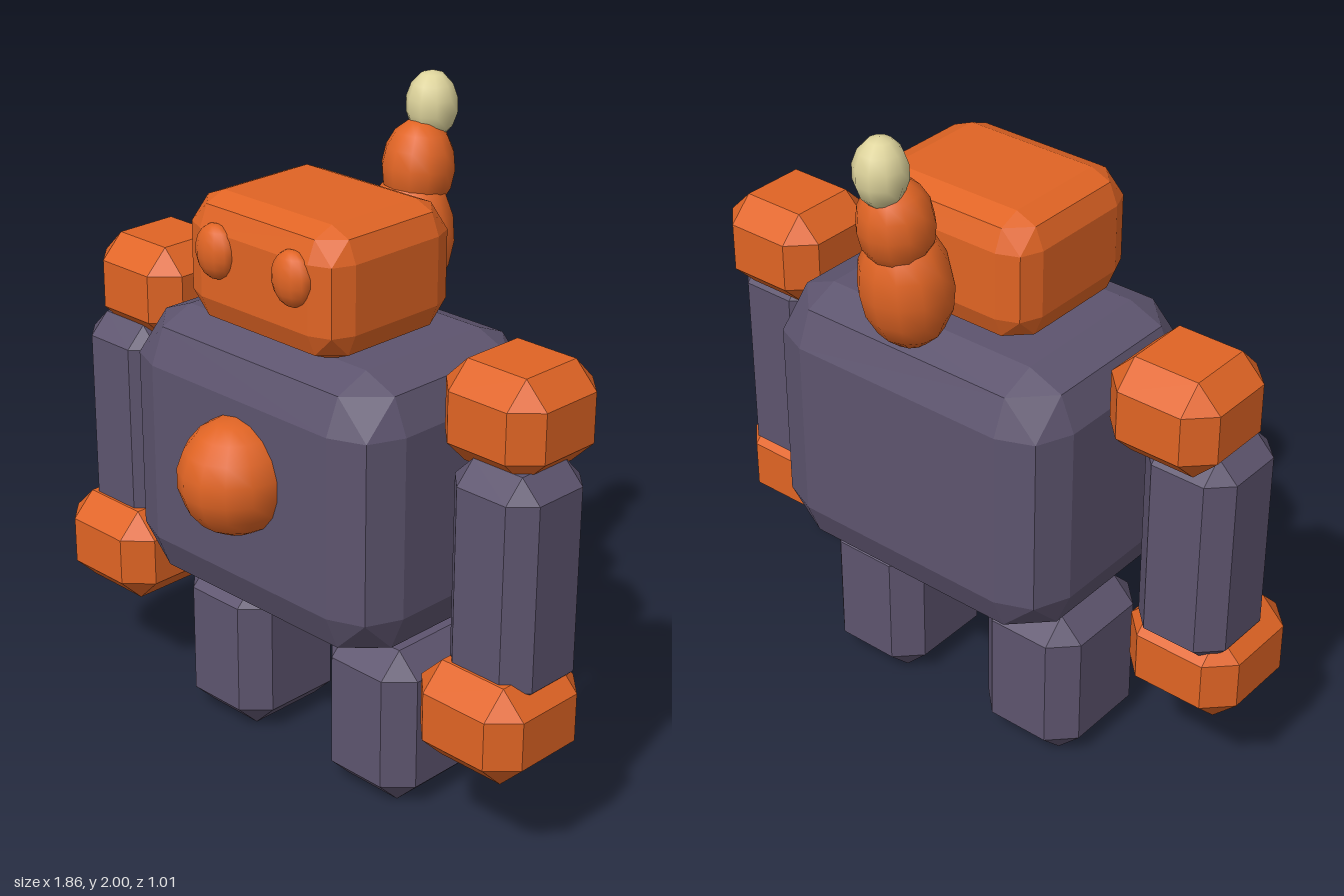
import * as THREE from 'three';
import { ConvexGeometry } from 'three/addons/geometries/ConvexGeometry.js';

const material = (name, color) => {
  const m = new THREE.MeshStandardMaterial({ color });
  m.name = name;
  return m;
};

// Box whose edges are cut by one flat bevel, or by two when round is true
function bevelBox(w, h, d, r, round) {
  const k = Math.SQRT1_2;
  const dirs = [[1, 0, 0], [0, 1, 0], [0, 0, 1]];
  if (round) dirs.push([k, k, 0], [k, 0, k], [0, k, k]);
  const points = [];
  for (const sx of [-1, 1]) for (const sy of [-1, 1]) for (const sz of [-1, 1]) {
    for (const [x, y, z] of dirs) {
      points.push(new THREE.Vector3(
        sx * (w / 2 - r + r * x),
        sy * (h / 2 - r + r * y),
        sz * (d / 2 - r + r * z)));
    }
  }
  return new ConvexGeometry(points);
}

export function createModel() {
  const orange = material('orange', 0xe06424);
  const purple = material('dark purple', 0x5d546e);
  const cream = material('cream', 0xded49c);
  const group = new THREE.Group();

  const add = (name, geometry, mat, x, y, z) => {
    const mesh = new THREE.Mesh(geometry, mat);
    mesh.name = name;
    mesh.position.set(x, y, z);
    group.add(mesh);
    return mesh;
  };
  // Bevelled block given by its x, y and z ranges
  const block = (name, mat, [x0, x1], [y0, y1], [z0, z1], r, round = false) =>
    add(name, bevelBox(x1 - x0, y1 - y0, z1 - z0, r, round), mat,
      (x0 + x1) / 2, (y0 + y1) / 2, (z0 + z1) / 2);
  const ball = (name, mat, [x, y, z], [rx, ry, rz], sides, rings) =>
    add(name, new THREE.SphereGeometry(1, sides, rings).scale(rx, ry, rz), mat, x, y, z);

  // Body and head
  block('torso', purple, [-0.5, 0.5], [0.525, 1.37], [-0.41, 0.335], 0.15, true);
  block('head', orange, [-0.3, 0.3], [1.36, 1.74], [-0.235, 0.265], 0.09, true);
  ball('belly', orange, [0, 0.997, 0.335], [0.163, 0.173, 0.175], 14, 9);

  // Limbs and eyes, mirrored
  for (const [side, s] of [['left', 1], ['right', -1]]) {
    const span = (a, b) => (s > 0 ? [a, b] : [-b, -a]);
    block(side + 'Shoulder', orange, span(0.525, 0.872), [1.15, 1.443], [-0.21, 0.135], 0.073);
    block(side + 'Arm', purple, span(0.6, 0.895), [0.51, 1.19], [-0.133, 0.165], 0.063);
    block(side + 'Hand', orange, span(0.56, 0.93), [0.302, 0.6], [-0.122, 0.248], 0.075);
    block(side + 'Leg', purple, span(0.127, 0.47), [0, 0.496], [-0.233, 0.162], 0.073);
    ball(side + 'Eye', orange, [s * 0.15, 1.597, 0.262], [0.069, 0.08, 0.046], 12, 9);
  }

  // Upright tail at the back, ending in a pale tip
  ball('tailBase', orange, [0, 1.533, -0.349], [0.137, 0.191, 0.127], 12, 8).rotation.x = -0.1;
  ball('tailMiddle', orange, [0, 1.73, -0.383], [0.108, 0.138, 0.107], 12, 8).rotation.x = -0.1;
  ball('tailTip', cream, [0, 1.9, -0.435], [0.076, 0.1, 0.076], 10, 7);

  return group;
}
